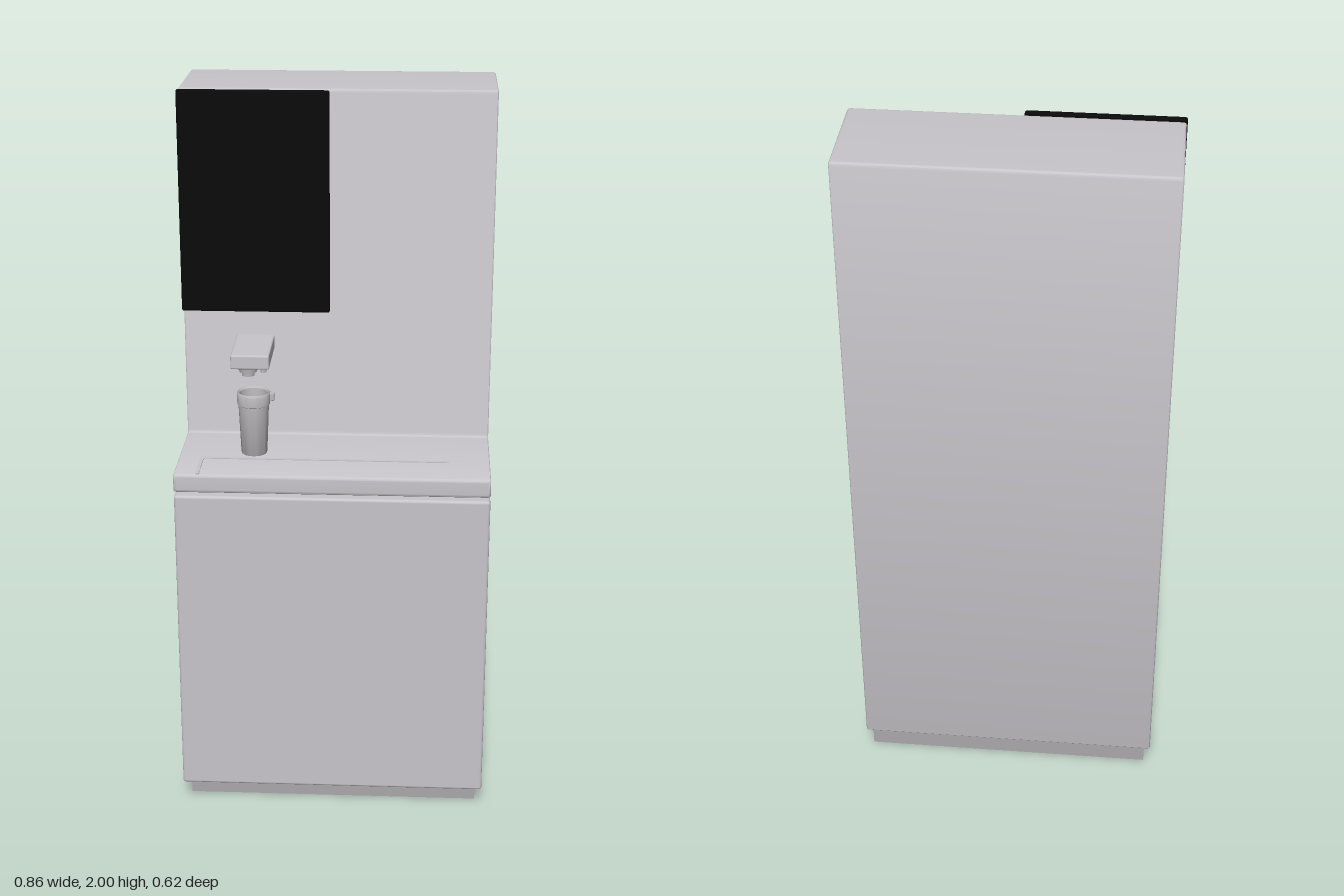
import * as THREE from 'three';
import { toCreasedNormals } from 'three/addons/utils/BufferGeometryUtils.js';
import { RoundedBoxGeometry } from 'three/addons/geometries/RoundedBoxGeometry.js';

const mat = (name, color) => {
  const m = new THREE.MeshStandardMaterial({ color });
  m.name = name;
  return m;
};

// closed outline with softened corners
function softOutline(path, pts, r) {
  const v = pts.map(p => new THREE.Vector2(...p));
  v.forEach((p, i) => {
    const prev = v[(i + v.length - 1) % v.length], next = v[(i + 1) % v.length];
    const a = p.clone().add(prev.clone().sub(p).setLength(r));
    const b = p.clone().add(next.clone().sub(p).setLength(r));
    if (i === 0) path.moveTo(a.x, a.y); else path.lineTo(a.x, a.y);
    path.quadraticCurveTo(p.x, p.y, b.x, b.y);
  });
  path.closePath();
  return path;
}

export function createModel() {
  const group = new THREE.Group();
  const shell = mat('shellGrey', 0xc8c5ca);
  const plinthGrey = mat('plinthGrey', 0xa9a7aa);
  const cupGrey = mat('cupGrey', 0xbcbabd);
  const black = mat('screenBlack', 0x0a0a0a);

  const add = (name, geo, m, x = 0, y = 0, z = 0) => {
    const mesh = new THREE.Mesh(geo, m);
    mesh.name = name;
    mesh.position.set(x, y, z);
    group.add(mesh);
    return mesh;
  };
  // box given by its limits on each axis; r > 0 rounds the edges
  const block = (name, m, [x0, x1], [y0, y1], [z0, z1], r = 0) => {
    const s = [x1 - x0, y1 - y0, z1 - z0];
    const geo = r ? new RoundedBoxGeometry(...s, 2, r) : new THREE.BoxGeometry(...s);
    return add(name, geo, m, (x0 + x1) / 2, (y0 + y1) / 2, (z0 + z1) / 2);
  };

  // cabinet: L-shaped side profile (z, y), swept across the width
  const W = 0.855, bevel = 0.008;
  const profile = softOutline(new THREE.Shape(), [
    [-0.308, 0.065], [0.25, 0.065], [0.25, 0.967], [0.31, 0.967],
    [0.31, 1.02], [-0.015, 1.02], [-0.015, 2], [-0.308, 2],
  ], 0.009);
  // finger slots on both sides: centre z, centre y
  const slots = [[0.208, 0.53], [-0.118, 1.475]];
  const sw = 0.012, sh = 0.062;
  for (const [z, y] of slots) {
    const hole = new THREE.Path();
    hole.absarc(z, y + sh, sw, 0, Math.PI, false);
    hole.absarc(z, y - sh, sw, Math.PI, Math.PI * 2, false);
    hole.closePath();
    profile.holes.push(hole);
    // floor of the slot pockets
    block('slotFloor', shell, [-W / 2 + 0.018, W / 2 - 0.018],
      [y - sh - 0.025, y + sh + 0.025], [z - 0.02, z + 0.02]);
  }
  const body = new THREE.ExtrudeGeometry(profile, {
    depth: W - 2 * bevel, bevelThickness: bevel, bevelSize: bevel * 0.6,
    bevelOffset: -bevel * 0.6, bevelSegments: 2, curveSegments: 8,
  });
  body.translate(0, 0, -(W - 2 * bevel) / 2);
  body.rotateY(-Math.PI / 2);
  add('cabinet', toCreasedNormals(body, 0.6), shell);

  // front door and recessed plinth
  block('door', shell, [-W / 2, W / 2], [0.065, 0.957], [0.254, 0.31], 0.008);
  block('plinth', plinthGrey, [-0.41, 0.41], [0, 0.068], [-0.29, 0.25]);

  // fine trim lines on the worktop
  block('worktopTrim', shell, [-0.365, 0.315], [1.018, 1.0225], [0.181, 0.19]);
  block('worktopTrim', shell, [-0.367, -0.358], [1.018, 1.0225], [0.19, 0.306]);

  // touch screen on a hidden bracket
  block('screen', black, [-0.43, -0.02], [1.388, 2], [-0.003, 0.013], 0.006);
  block('screenBracket', black, [-0.33, -0.12], [1.55, 1.85], [-0.018, 0]);

  // dispenser arm with its outlets
  block('dispenserArm', shell, [-0.281, -0.176], [1.274, 1.314], [-0.02, 0.174], 0.005);
  const outlet = (name, r, x, y0, z) =>
    add(name, new THREE.CylinderGeometry(r, r * 0.9, 1.277 - y0, 20), cupGrey, x, (1.277 + y0) / 2, z);
  outlet('mainOutlet', 0.027, -0.236, 1.258, 0.137);
  outlet('mainOutletTip', 0.019, -0.236, 1.247, 0.137);
  outlet('smallOutlet', 0.009, -0.196, 1.25, 0.119);

  // cup with a thicker rim band, open at the top
  const cup = new THREE.LatheGeometry([
    [0, 0], [0.034, 0], [0.036, 0.004], [0.042, 0.142], [0.045, 0.144], [0.046, 0.174],
    [0.043, 0.179], [0.039, 0.174], [0.038, 0.15], [0.033, 0.012], [0, 0.01],
  ].map(p => new THREE.Vector2(...p)), 32);
  add('cup', toCreasedNormals(cup, 0.6), cupGrey, -0.223, 1.02, 0.132);
  block('cupTab', cupGrey, [-0.184, -0.166], [1.172, 1.194], [0.119, 0.136], 0.003);

  return group;
}
